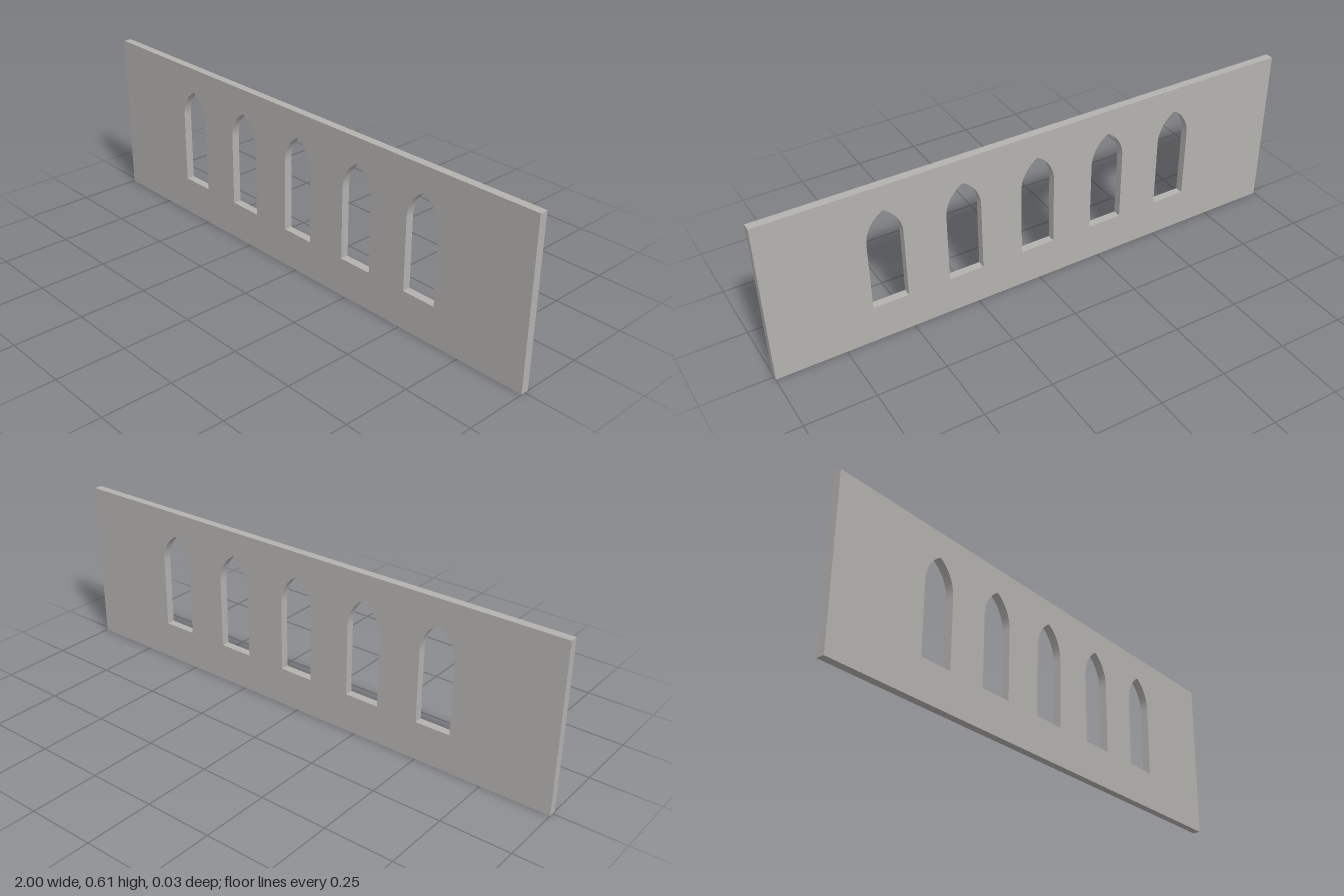
import * as THREE from 'three';

const WALL = { width: 2, height: 0.607, depth: 0.03 };
const WINDOW = { width: 0.13, sill: 0.142, spring: 0.403, spacing: 0.2845, offset: 0.008, count: 5 };

// Pointed-arch opening: each side of the arch is centred on the opposite springing point
function lancetOpening(cx) {
  const { width: w, sill, spring } = WINDOW;
  const left = cx - w / 2, right = cx + w / 2;
  const path = new THREE.Path();
  path.moveTo(left, sill);
  path.lineTo(right, sill);
  path.lineTo(right, spring);
  path.absarc(left, spring, w, 0, Math.PI / 3, false);
  path.absarc(right, spring, w, Math.PI * 2 / 3, Math.PI, false);
  path.closePath();
  return path;
}

export function createModel() {
  const group = new THREE.Group();
  group.name = 'archedWindowWall';

  const stone = new THREE.MeshStandardMaterial({ color: 0xb4b2af });
  stone.name = 'grey stone';

  // Wall outline
  const half = WALL.width / 2;
  const outline = new THREE.Shape();
  outline.moveTo(-half, 0);
  outline.lineTo(half, 0);
  outline.lineTo(half, WALL.height);
  outline.lineTo(-half, WALL.height);
  outline.closePath();

  // Row of window openings
  for (let i = 0; i < WINDOW.count; i++) {
    const step = i - (WINDOW.count - 1) / 2;
    outline.holes.push(lancetOpening(WINDOW.offset + step * WINDOW.spacing));
  }

  // Wall slab
  const geometry = new THREE.ExtrudeGeometry(outline, {
    depth: WALL.depth, bevelEnabled: false, curveSegments: 10,
  });
  geometry.translate(0, 0, -WALL.depth / 2);
  const wall = new THREE.Mesh(geometry, stone);
  wall.name = 'wall';
  group.add(wall);

  return group;
}
